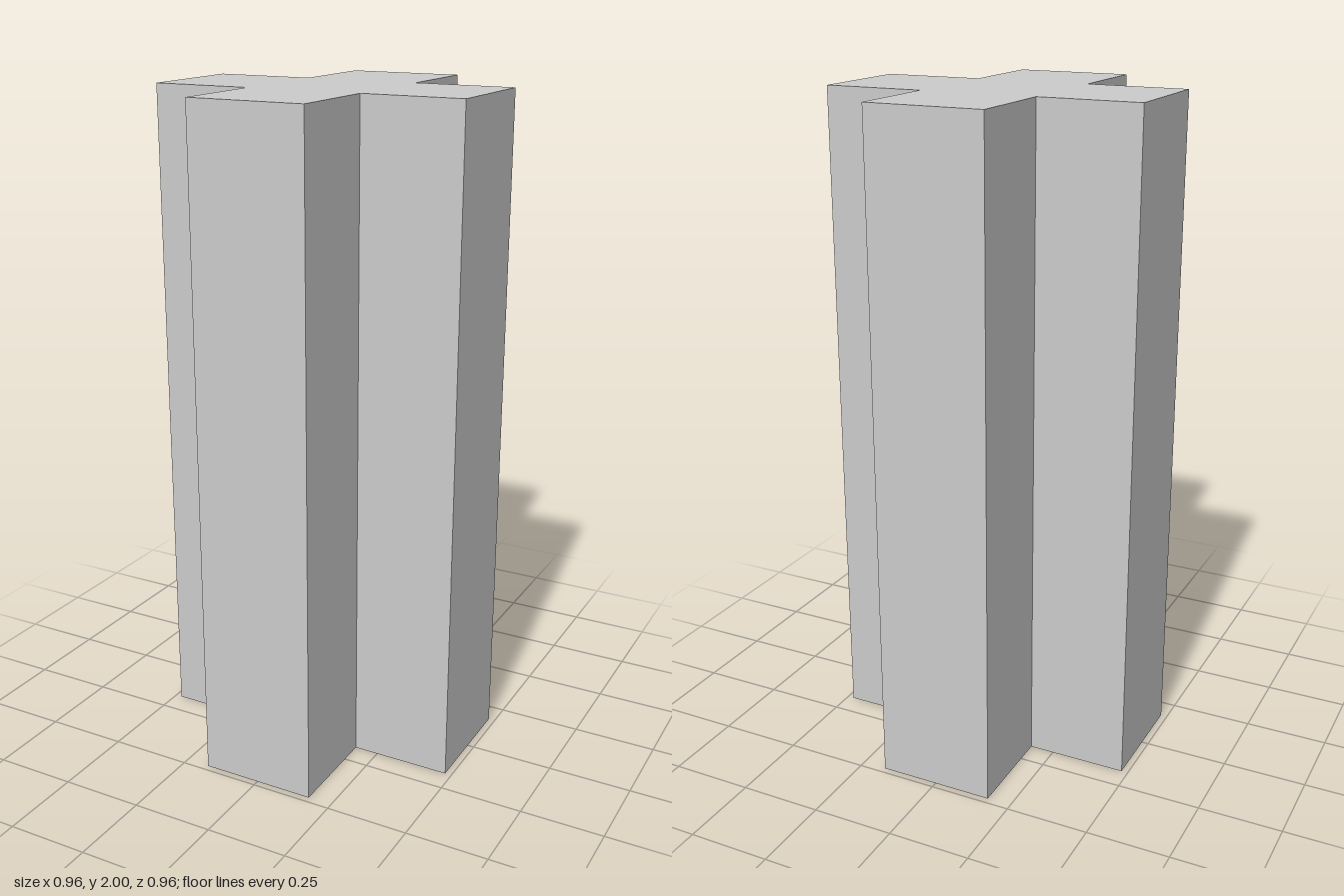
import * as THREE from 'three';

const HEIGHT = 2;
const REACH = 0.48; // centre to the end of an arm
const HALF = 0.176; // half the width of an arm

export function createModel() {
  const group = new THREE.Group();
  group.name = 'crossColumn';

  // Cross-shaped section: three corners per quarter, turned four times
  const corners = [];
  for (let i = 0; i < 4; i++) {
    for (const [x, y] of [[REACH, -HALF], [REACH, HALF], [HALF, HALF]]) {
      corners.push(new THREE.Vector2(x, y).rotateAround(new THREE.Vector2(), (i * Math.PI) / 2));
    }
  }

  // Extruded straight up from the ground
  const geometry = new THREE.ExtrudeGeometry(new THREE.Shape(corners), {
    depth: HEIGHT,
    bevelEnabled: false,
  });
  geometry.rotateX(-Math.PI / 2);

  const column = new THREE.Mesh(
    geometry,
    new THREE.MeshStandardMaterial({ color: 0xcccccc, flatShading: true })
  );
  column.name = 'column';
  group.add(column);
  return group;
}
